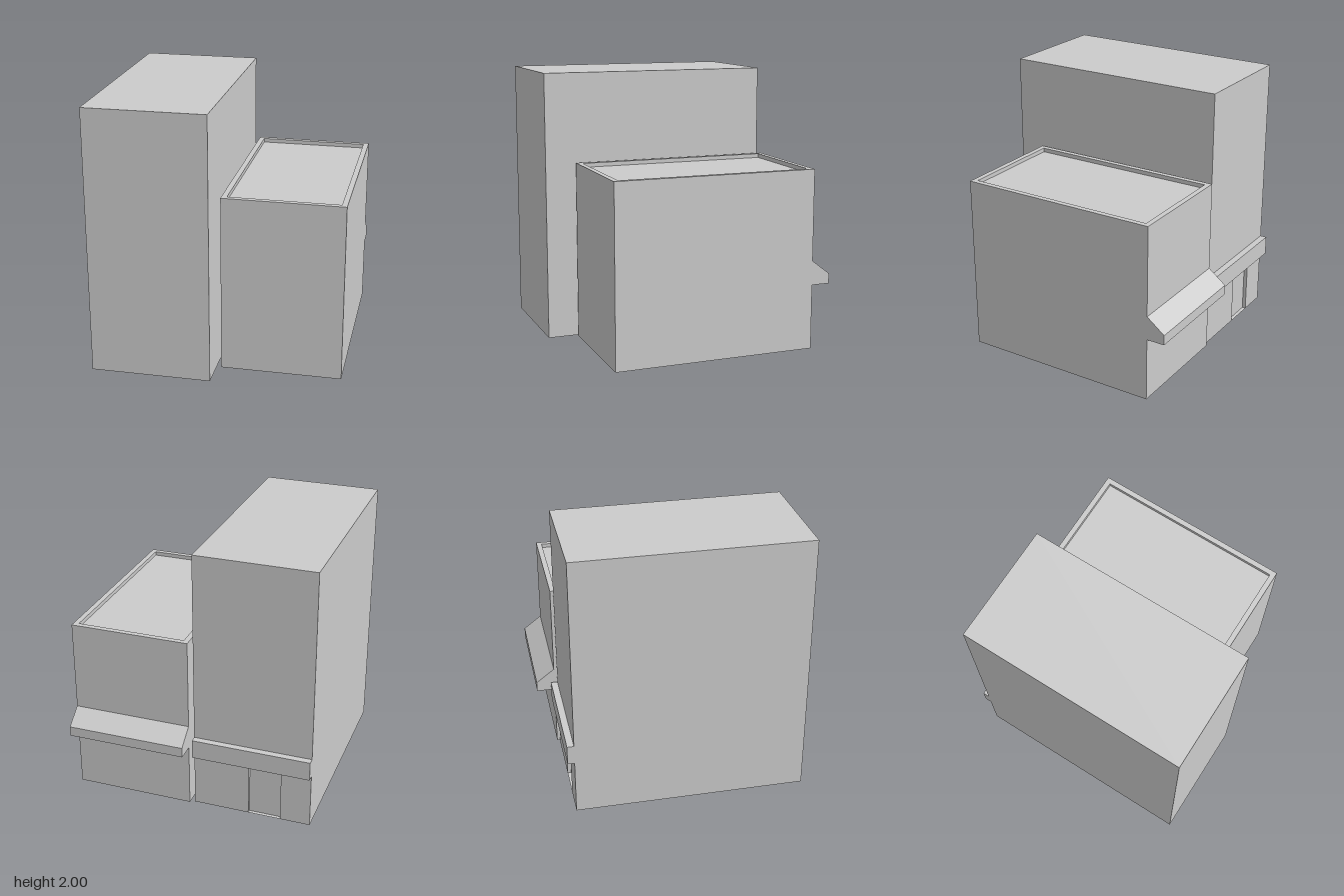
import * as THREE from 'three';

const plaster = new THREE.MeshStandardMaterial({ color: 0xcccccc, side: THREE.DoubleSide });
plaster.name = 'grey plaster';

function add(parent, name, geometry) {
  const mesh = new THREE.Mesh(geometry, plaster);
  mesh.name = name;
  parent.add(mesh);
  return mesh;
}

// Flat four-cornered panel, corners counter-clockwise seen from outside
function panel(parent, name, a, b, c, d) {
  const g = new THREE.BufferGeometry();
  g.setAttribute('position', new THREE.Float32BufferAttribute([a, b, c, d].flat(), 3));
  g.setIndex([0, 1, 2, 0, 2, 3]);
  g.computeVertexNormals();
  return add(parent, name, g);
}

// Solid block between two opposite corners
function block(parent, name, [x0, y0, z0], [x1, y1, z1]) {
  const mesh = add(parent, name, new THREE.BoxGeometry(x1 - x0, y1 - y0, z1 - z0));
  mesh.position.set((x0 + x1) / 2, (y0 + y1) / 2, (z0 + z1) / 2);
  return mesh;
}

const shapeOf = (points) => new THREE.Shape(points.map(([x, y]) => new THREE.Vector2(x, y)));

function createTower() {
  const g = new THREE.Group();
  g.name = 'tallBuilding';
  const x0 = -0.91, x1 = -0.02, z0 = -0.78, z1 = 0.935, h = 2;
  const d0 = -0.685, d1 = -0.44, doorTop = 0.42, zd = z0 + 0.027;

  // Shell, open underneath
  panel(g, 'frontWall', [x0, 0, z1], [x1, 0, z1], [x1, h, z1], [x0, h, z1]);
  panel(g, 'leftWall', [x1, 0, z1], [x1, 0, z0], [x1, h, z0], [x1, h, z1]);
  panel(g, 'rightWall', [x0, 0, z0], [x0, 0, z1], [x0, h, z1], [x0, h, z0]);
  panel(g, 'roof', [x0, h, z1], [x1, h, z1], [x1, h, z0], [x0, h, z0]);

  // Street wall with a doorway cut out of its foot
  const wall = add(g, 'streetWall', new THREE.ShapeGeometry(shapeOf([
    [-x1, 0], [-d1, 0], [-d1, doorTop], [-d0, doorTop], [-d0, 0], [-x0, 0], [-x0, h], [-x1, h],
  ])));
  wall.rotation.y = Math.PI;
  wall.position.z = z0;

  // Recessed door
  panel(g, 'door', [d1, 0, zd], [d0, 0, zd], [d0, doorTop, zd], [d1, doorTop, zd]);
  panel(g, 'doorJambLeft', [d1, 0, z0], [d1, 0, zd], [d1, doorTop, zd], [d1, doorTop, z0]);
  panel(g, 'doorJambRight', [d0, 0, zd], [d0, 0, z0], [d0, doorTop, z0], [d0, doorTop, zd]);
  panel(g, 'doorSill', [d0, 0, zd], [d1, 0, zd], [d1, 0, z0], [d0, 0, z0]);
  panel(g, 'doorHead', [d0, doorTop, z0], [d1, doorTop, z0], [d1, doorTop, zd], [d0, doorTop, zd]);

  // Fascia band over the shopfront
  block(g, 'fasciaBand', [x0, 0.42, -0.83], [x1, 0.565, z0]);
  return g;
}

function createShop() {
  const g = new THREE.Group();
  g.name = 'lowBuilding';
  const x0 = 0.015, x1 = 0.908, z0 = -0.8, z1 = 0.712, h = 1.335, t = 0.04, lip = 0.03;

  block(g, 'body', [x0, 0, z0], [x1, h - lip, z1]);

  // Parapet ring around the sunken roof
  const ring = shapeOf([[x0, -z1], [x1, -z1], [x1, -z0], [x0, -z0]]);
  ring.holes.push(shapeOf([
    [x0 + t, -z1 + t], [x0 + t, -z0 - t], [x1 - t, -z0 - t], [x1 - t, -z1 + t],
  ]));
  const parapet = add(g, 'parapet', new THREE.ExtrudeGeometry(ring, { depth: lip, bevelEnabled: false }));
  parapet.rotation.x = -Math.PI / 2;
  parapet.position.y = h - lip;

  // Sloping awning, hollow underneath
  const ze = -0.937, top = 0.66, edge = 0.555, low = 0.48;
  panel(g, 'awningSlope', [x1, edge, ze], [x0, edge, ze], [x0, top, z0], [x1, top, z0]);
  panel(g, 'awningFront', [x1, low, ze], [x0, low, ze], [x0, edge, ze], [x1, edge, ze]);
  panel(g, 'awningEndLeft', [x1, low, z0], [x1, low, ze], [x1, edge, ze], [x1, top, z0]);
  panel(g, 'awningEndRight', [x0, low, ze], [x0, low, z0], [x0, top, z0], [x0, edge, ze]);
  return g;
}

export function createModel() {
  const model = new THREE.Group();
  model.name = 'twoBuildings';
  model.add(createTower(), createShop());
  return model;
}
